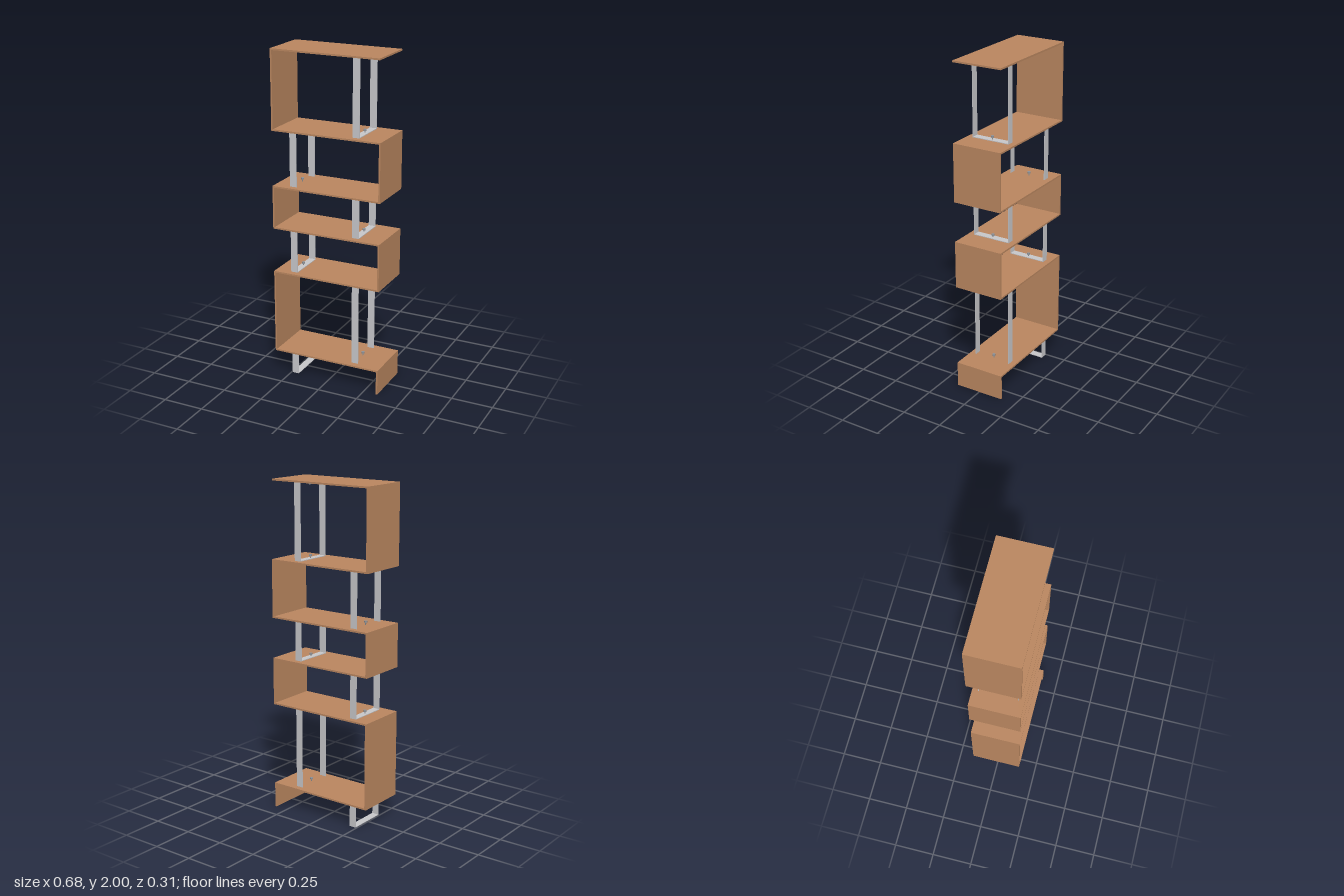
import * as THREE from 'three';

export function createModel() {
  const model = new THREE.Group();
  model.name = 'zigzagShelf';
  const wood = new THREE.MeshStandardMaterial({ color: 0xbb8760 });
  wood.name = 'warm wood';
  const steel = new THREE.MeshStandardMaterial({ color: 0xc8c8cb });
  steel.name = 'brushed steel';
  const boltSteel = new THREE.MeshStandardMaterial({ color: 0x8f949a });
  boltSteel.name = 'bolt steel';

  const T = 0.01;         // board thickness
  const DEPTH = 0.305;    // board depth
  const STRAP = 0.004;    // steel strap thickness
  const WIDTH = 0.043;    // steel strap width
  const STRAP_Z = 0.115;  // strap distance from the middle
  const STRAP_X = { right: -0.222, left: 0.176 };

  // box given by its extents
  function box(parent, name, mat, x0, x1, y0, y1, z0, z1) {
    const mesh = new THREE.Mesh(new THREE.BoxGeometry(x1 - x0, y1 - y0, z1 - z0), mat);
    mesh.position.set((x0 + x1) / 2, (y0 + y1) / 2, (z0 + z1) / 2);
    mesh.name = name;
    parent.add(mesh);
  }

  // shelf top heights, from the floor up
  const tops = [0, 0.155, 0.667, 0.945, 1.198, 1.537, 2.0];

  // horizontal boards; the top one stops short on its open side
  for (let i = 1; i < tops.length; i++) {
    const end = i === tops.length - 1 ? 0.33 : 0.34;
    box(model, 'shelfBoard', wood, -0.34, end, tops[i] - T, tops[i], -DEPTH / 2, DEPTH / 2);
  }

  // bolt head on a short rod, pointing up or down from a shelf face
  function bolt(x, y, dir) {
    const g = new THREE.Group();
    g.name = 'bolt';
    const rod = new THREE.Mesh(new THREE.CylinderGeometry(0.003, 0.003, 0.02, 8), boltSteel);
    rod.position.y = 0.01;
    rod.name = 'boltRod';
    const head = new THREE.Mesh(new THREE.CylinderGeometry(0.009, 0.009, 0.01, 12), boltSteel);
    head.position.y = 0.019;
    head.name = 'boltHead';
    g.add(rod, head);
    g.position.set(x, y, 0);
    if (dir < 0) g.rotation.x = Math.PI;
    model.add(g);
  }

  // which ends of each strap frame carry a crossbar
  const bars = [
    { foot: true }, { head: true }, { foot: true, head: true },
    { foot: true }, { head: true }, { foot: true },
  ];

  // each bay: an end panel on one side, a strap frame on the other
  for (let i = 0; i < 6; i++) {
    const y0 = tops[i], y1 = tops[i + 1] - T;
    const panelX = i % 2 === 0 ? 0.335 : -0.335;
    const x = i % 2 === 0 ? STRAP_X.right : STRAP_X.left;
    box(model, 'endPanel', wood, panelX - T / 2, panelX + T / 2, y0, y1, -DEPTH / 2, DEPTH / 2);

    const frame = new THREE.Group();
    frame.name = 'strapFrame';
    const x0 = x - WIDTH / 2, x1 = x + WIDTH / 2;
    for (const s of [-1, 1]) {
      const z = s * STRAP_Z;
      box(frame, 'uprightStrap', steel, x0, x1, y0, y1, z - STRAP / 2, z + STRAP / 2);
    }
    const inner = STRAP_Z - STRAP / 2;
    if (bars[i].foot) box(frame, 'footBar', steel, x0, x1, y0, y0 + STRAP, -inner, inner);
    if (bars[i].head) box(frame, 'headBar', steel, x0, x1, y1 - STRAP, y1, -inner, inner);
    model.add(frame);

    // bolts through the shelf below, and into the shelf above
    if (i > 0) {
      bolt(x, y0, 1);
      bolt(x, y0 - T, -1);
    }
    bolt(x, y1, -1);
  }

  // flat ties under three shelves, running between the two bolts
  for (const i of [2, 3, 5]) {
    const y = tops[i] - T;
    const a = STRAP_X.right, b = STRAP_X.left, h = WIDTH / 2;
    const start = i === 2 ? a - h : a + h;
    const end = i === 2 ? b - h : b + h;
    box(model, 'shelfTie', steel, start, end, y - STRAP, y, -h, h);
  }

  return model;
}
